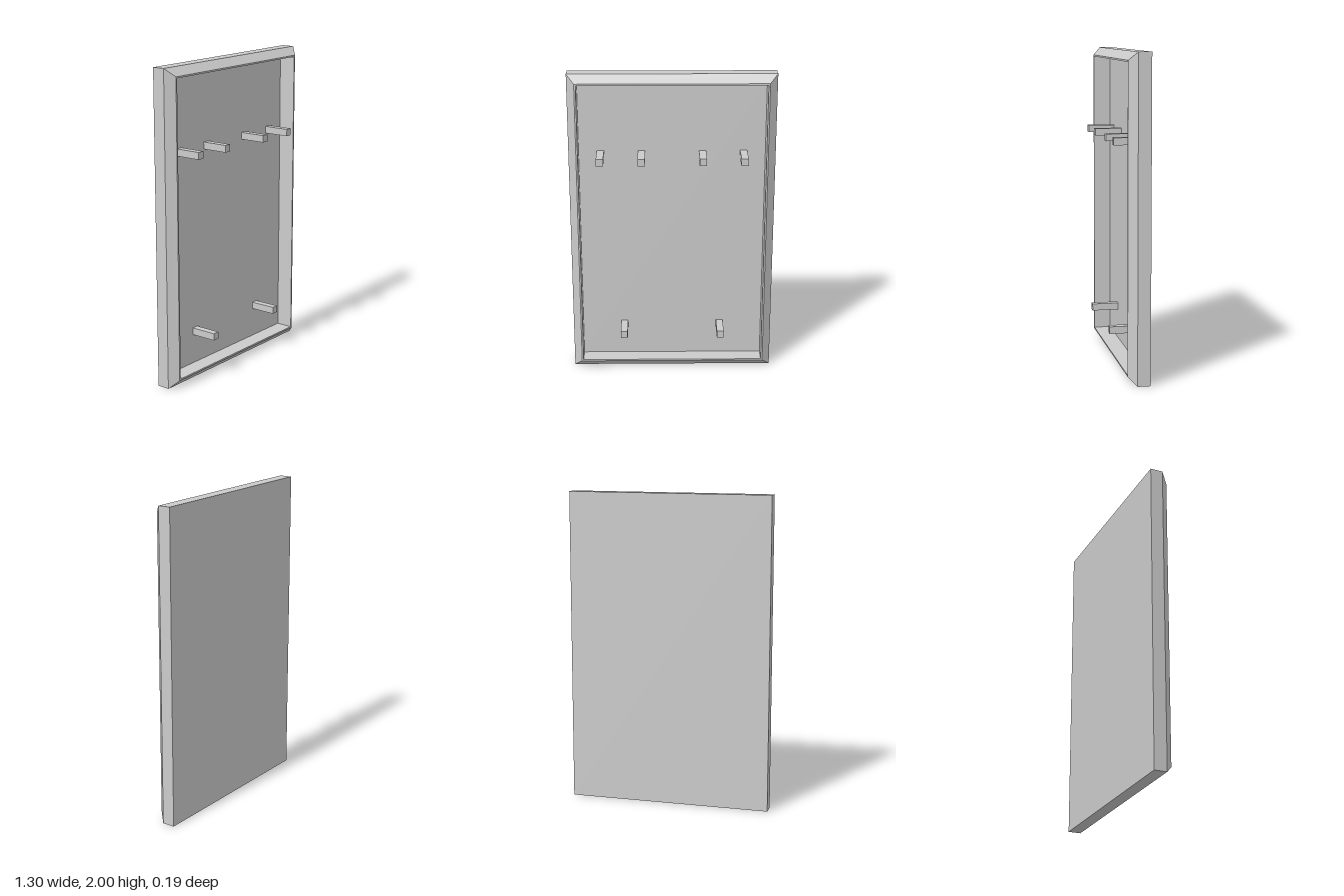
import * as THREE from 'three';

const W = 0.65, H = 1; // half width and half height
const BACK = -0.097, FLOOR = -0.075, FRONT = 0.097;

// Frame profile: [inset from the outer edge, z], from the back edge round to the floor
const PROFILE = [[0, BACK], [0, -0.016], [0.05, 0.035], [0.06, 0.035], [0.06, FLOOR]];

// Sweep the profile round the rectangle, with mitred corners and hard edges
function frameGeometry() {
  const corners = [[1, -1], [1, 1], [-1, 1], [-1, -1]];
  const point = ([inset, z], [sx, sy]) => [sx * (W - inset), H + sy * (H - inset), z];
  const positions = [];
  for (let i = 0; i < PROFILE.length - 1; i++) {
    for (let c = 0; c < 4; c++) {
      const next = corners[(c + 1) % 4];
      const a = point(PROFILE[i], corners[c]);
      const b = point(PROFILE[i], next);
      const d = point(PROFILE[i + 1], next);
      const e = point(PROFILE[i + 1], corners[c]);
      positions.push(...a, ...b, ...d, ...a, ...d, ...e);
    }
  }
  const geometry = new THREE.BufferGeometry();
  geometry.setAttribute('position', new THREE.Float32BufferAttribute(positions, 3));
  geometry.computeVertexNormals();
  return geometry;
}

export function createModel() {
  const group = new THREE.Group();
  group.name = 'pegPanel';
  const material = new THREE.MeshStandardMaterial({ color: 0xcccccc, flatShading: true });
  const add = (name, geometry, x = 0, y = 0, z = 0) => {
    const mesh = new THREE.Mesh(geometry, material);
    mesh.name = name;
    mesh.position.set(x, y, z);
    group.add(mesh);
  };

  // Bevelled frame around the recess
  add('frame', frameGeometry());

  // Recess floor and flat back
  add('recessFloor', new THREE.PlaneGeometry(2 * (W - 0.06), 2 * (H - 0.06)), 0, H, FLOOR);
  add('back', new THREE.PlaneGeometry(2 * W, 2 * H).rotateY(Math.PI), 0, H, BACK);

  // Square pegs standing out of the recess, mirrored left and right
  const peg = new THREE.BoxGeometry(0.045, 0.045, FRONT - FLOOR);
  const pegs = [['outerPeg', 0.452, 1.465], ['innerPeg', 0.193, 1.465], ['lowerPeg', 0.315, 0.275]];
  for (const [name, x, y] of pegs) {
    add(name + 'Left', peg, x, y, (FRONT + FLOOR) / 2);
    add(name + 'Right', peg, -x, y, (FRONT + FLOOR) / 2);
  }
  return group;
}
